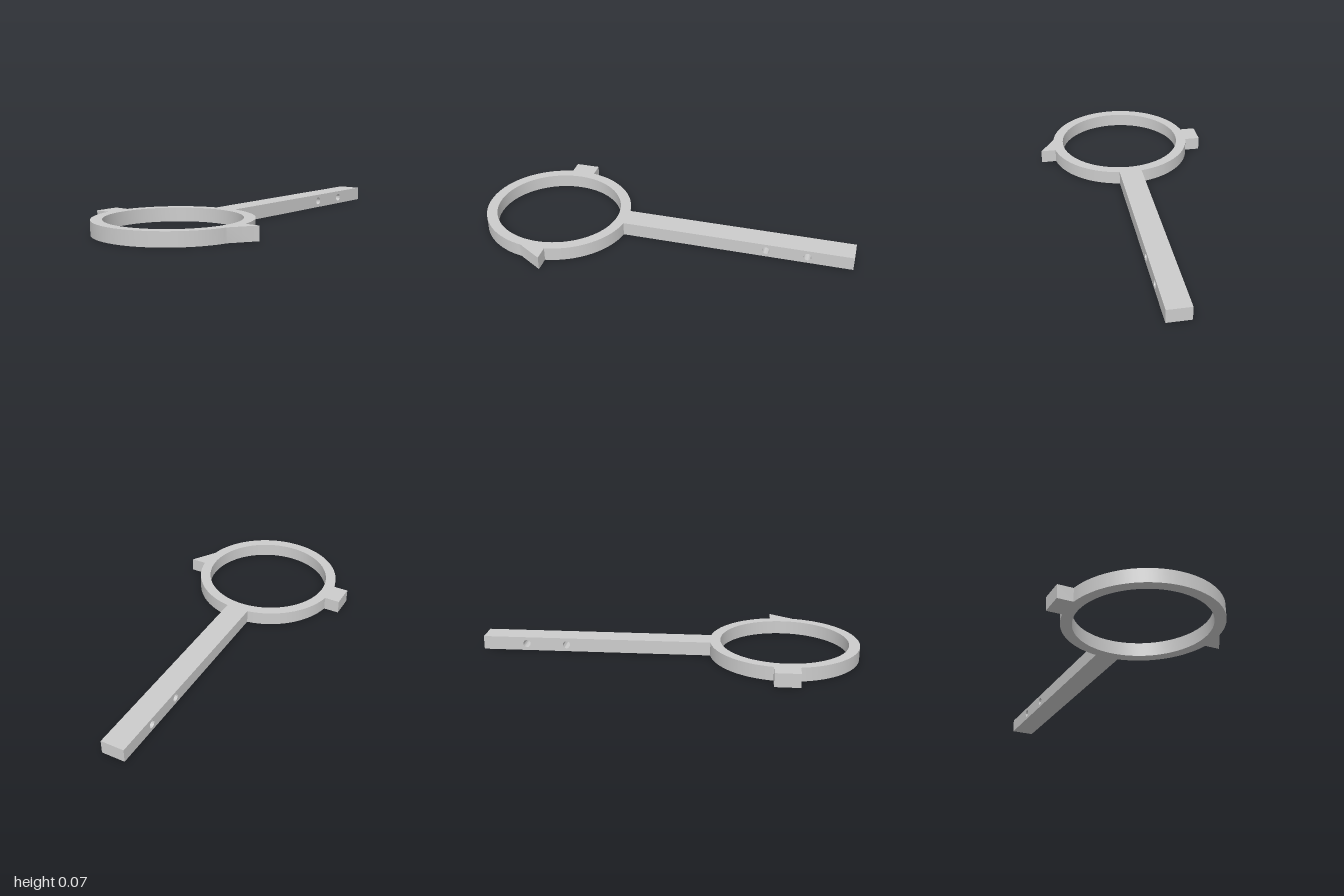
import * as THREE from 'three';
import { toCreasedNormals } from 'three/addons/utils/BufferGeometryUtils.js';

const H = 0.072;              // thickness of the whole piece
const R = 0.393, BORE = 0.337; // ring radii
const RING_Z = 0.607;
const TAB_X = 0.47, TAB_W = 0.065; // lug reach and half width
const BAR_W = 0.062;          // handle half width

const extrude = (shape, depth) =>
  new THREE.ExtrudeGeometry(shape, { depth, bevelEnabled: false, curveSegments: 64 });

function createRing() {
  const a = Math.asin(TAB_W / R), b = Math.asin(BAR_W / R);
  const neck = 1.5 * Math.PI;
  // outline with two side lugs and a flat where the handle joins
  const s = new THREE.Shape();
  s.moveTo(TAB_X, TAB_W);
  s.absarc(0, 0, R, a, Math.PI - a);
  s.lineTo(-TAB_X, TAB_W);
  s.lineTo(-TAB_X, -TAB_W);
  s.absarc(0, 0, R, Math.PI + a, neck - b);
  s.absarc(0, 0, R, neck + b, 2 * Math.PI - a);
  s.lineTo(TAB_X, -TAB_W);
  s.closePath();
  s.holes.push(new THREE.Path().absarc(0, 0, BORE, 0, 2 * Math.PI, true));
  return extrude(s, H).rotateX(Math.PI / 2).translate(0, H, RING_Z);
}

function createHandle() {
  const end = RING_Z - Math.sqrt(R * R - BAR_W * BAR_W);
  // side profile (z, y) with two cross holes
  const s = new THREE.Shape();
  s.moveTo(-1, 0);
  s.lineTo(end, 0);
  s.lineTo(end, H);
  s.lineTo(-1, H);
  s.closePath();
  for (const z of [-0.55, -0.765]) {
    s.holes.push(new THREE.Path().absarc(z, H / 2, 0.02, 0, 2 * Math.PI, true));
  }
  return extrude(s, 2 * BAR_W).translate(0, 0, -BAR_W).rotateY(-Math.PI / 2);
}

export function createModel() {
  const group = new THREE.Group();
  group.name = 'ringWithHandle';
  const material = new THREE.MeshStandardMaterial({ color: 0xcccccc });
  const parts = { ringWithLugs: createRing(), handle: createHandle() };
  for (const [name, geometry] of Object.entries(parts)) {
    const mesh = new THREE.Mesh(toCreasedNormals(geometry, 0.5), material);
    mesh.name = name;
    group.add(mesh);
  }
  return group;
}
